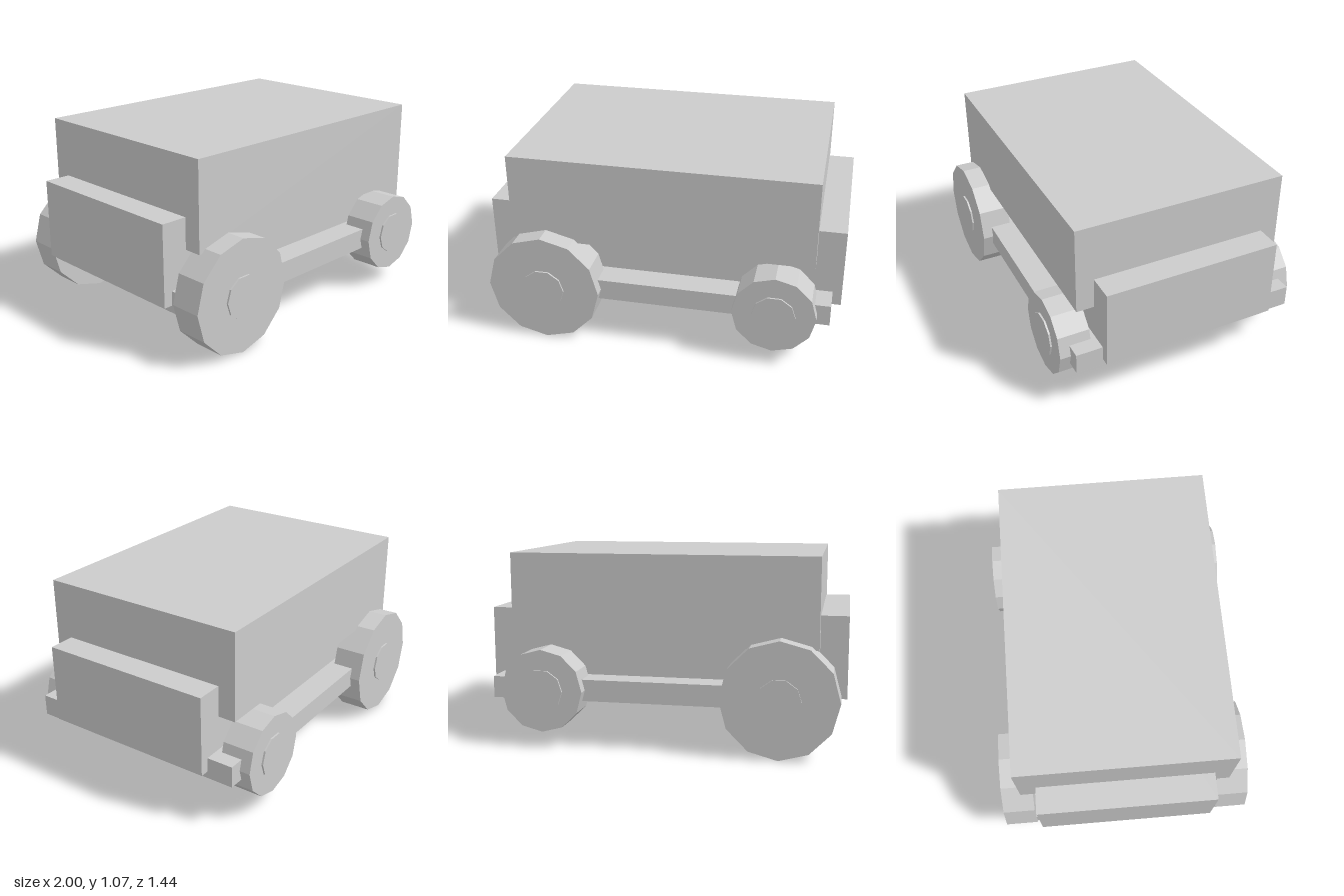
import * as THREE from 'three';

export function createModel() {
  const model = new THREE.Group();
  model.name = 'vehicle';
  const grey = new THREE.MeshStandardMaterial({ color: 0xcccccc, flatShading: true });
  grey.name = 'light grey';

  // Box centred on x and z, spanning y0 to y1
  function box(name, width, depth, y0, y1) {
    const mesh = new THREE.Mesh(new THREE.BoxGeometry(width, y1 - y0, depth), grey);
    mesh.name = name;
    mesh.position.y = (y0 + y1) / 2;
    model.add(mesh);
  }

  // Disc with its axis along z and a corner pointing along x
  function disc(name, radius, thickness, sides) {
    const geometry = new THREE.CylinderGeometry(radius, radius, thickness, sides, 1, false, Math.PI / 2);
    geometry.rotateX(Math.PI / 2);
    const mesh = new THREE.Mesh(geometry, grey);
    mesh.name = name;
    return mesh;
  }

  box('chassis', 1.9, 1.3, 0.26, 0.38);
  box('lowerBody', 2, 1, 0.3, 0.75);
  box('upperBody', 1.7, 1.2, 0.575, 1.07);

  // Large wheels at -x, small wheels at +x, mirrored front and back
  for (const [name, x, radius] of [['largeWheel', -0.65, 0.32], ['smallWheel', 0.65, 0.23]]) {
    for (const side of [1, -1]) {
      const wheel = new THREE.Group();
      wheel.name = name;
      wheel.add(disc('tyre', radius, 0.18, 12), disc('hub', 0.12, 0.2, 10));
      wheel.position.set(x, 0.32, side * 0.62);
      model.add(wheel);
    }
  }
  return model;
}
